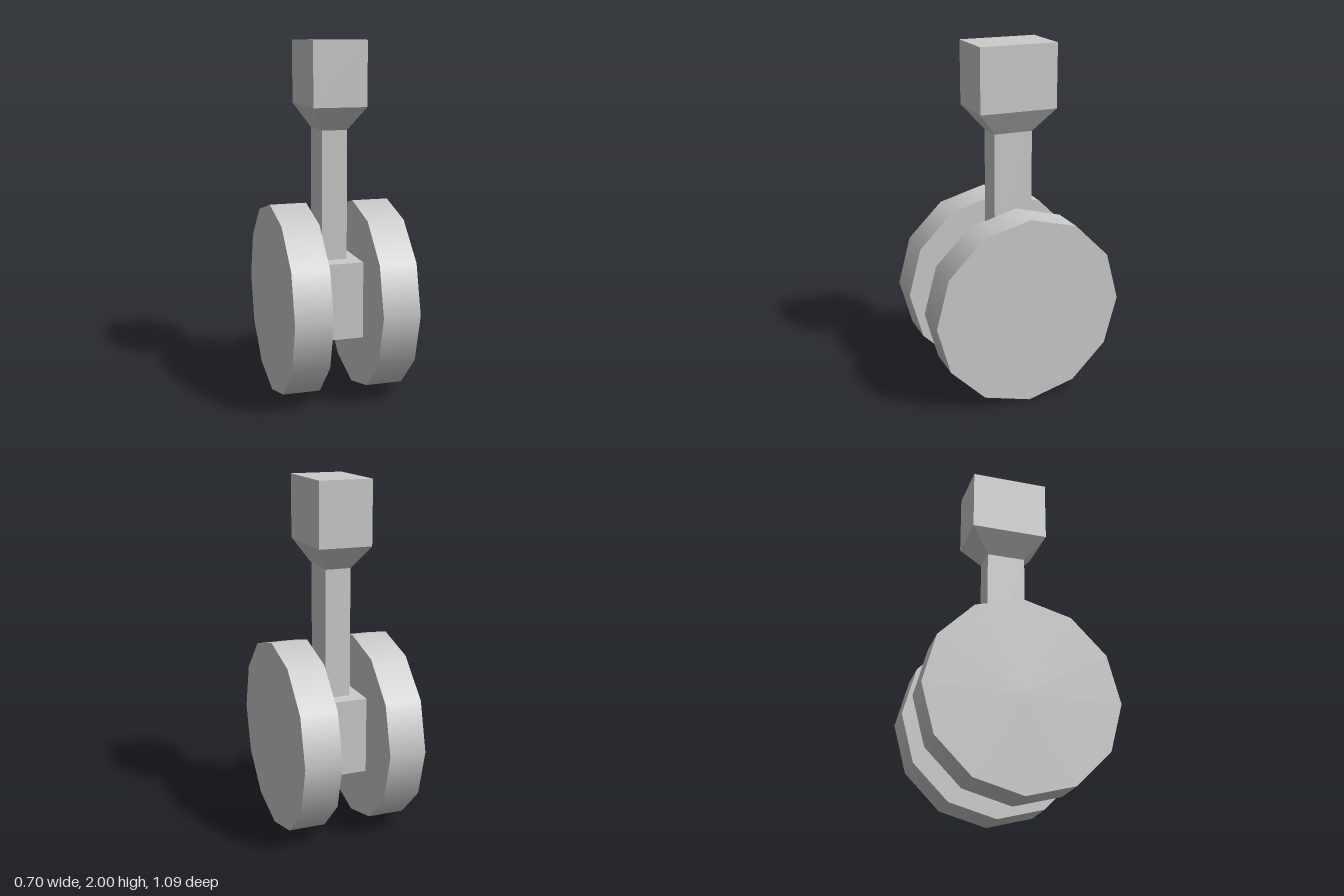
import * as THREE from 'three';

const material = new THREE.MeshStandardMaterial({ color: 0xcccccc });

function addMesh(parent, name, geometry) {
  const mesh = new THREE.Mesh(geometry, material);
  mesh.name = name;
  parent.add(mesh);
  return mesh;
}

// Closed solid through rectangular sections [halfWidth, halfDepth, y], bottom to top
function loftRectangles(sections) {
  const positions = [];
  const index = [];
  for (const [w, d, y] of sections) {
    positions.push(-w, y, d, w, y, d, w, y, -d, -w, y, -d);
  }
  for (let s = 0; s < sections.length - 1; s++) {
    for (let i = 0; i < 4; i++) {
      const a = s * 4 + i;
      const b = s * 4 + (i + 1) % 4;
      index.push(a, b, b + 4, a, b + 4, a + 4);
    }
  }
  const top = (sections.length - 1) * 4;
  index.push(0, 2, 1, 0, 3, 2);
  index.push(top, top + 1, top + 2, top, top + 2, top + 3);

  const indexed = new THREE.BufferGeometry();
  indexed.setAttribute('position', new THREE.Float32BufferAttribute(positions, 3));
  indexed.setIndex(index);
  const geometry = indexed.toNonIndexed();
  geometry.computeVertexNormals();
  return geometry;
}

export function createModel() {
  const group = new THREE.Group();
  group.name = 'wheeledStrut';

  // Pair of twelve-sided wheels, with a corner at the top
  const radius = 0.547;
  const wheelGeometry = new THREE.CylinderGeometry(radius, radius, 0.21, 12);
  wheelGeometry.rotateZ(Math.PI / 2);
  for (const [name, side] of [['leftWheel', 1], ['rightWheel', -1]]) {
    addMesh(group, name, wheelGeometry).position.set(side * 0.243, radius, 0);
  }

  // Block between the wheels
  const hub = addMesh(group, 'axleBlock', new THREE.BoxGeometry(0.28, 0.44, 0.42));
  hub.position.set(0, 0.555, -0.006);

  // Square strut flaring out into the mounting block
  const strut = addMesh(group, 'strutAndMount', loftRectangles([
    [0.073, 0.112, 0.77],
    [0.073, 0.112, 1.51],
    [0.152, 0.223, 1.642],
    [0.152, 0.223, 2.0],
  ]));
  strut.position.z = -0.013;

  return group;
}
